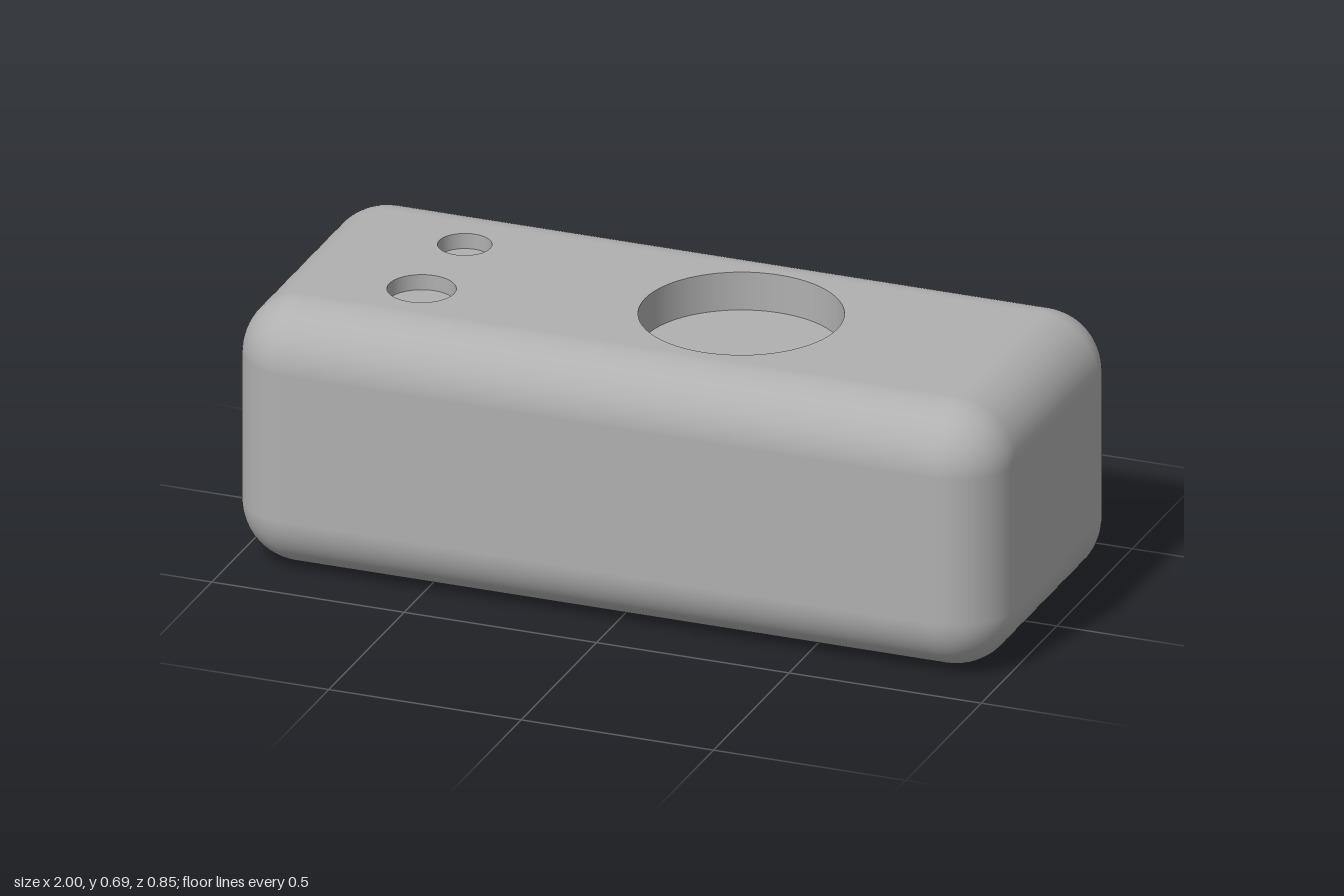
import * as THREE from 'three';
import { RoundedBoxGeometry } from 'three/addons/geometries/RoundedBoxGeometry.js';

const W = 2, H = 0.694, D = 0.852, R = 0.155;

// round recesses in the top face: centre, radius, depth
const recesses = [
  { name: 'largeRecess', x: 0.18, z: 0, r: 0.25, depth: 0.1 },
  { name: 'mediumRecess', x: -0.595, z: 0.142, r: 0.084, depth: 0.04 },
  { name: 'smallRecess', x: -0.595, z: -0.144, r: 0.066, depth: 0.04 },
];

// rounded box without its flat top panel
function openTopShell() {
  const box = new RoundedBoxGeometry(W, H, D, 10, R);
  const src = box.index ? box.toNonIndexed() : box;
  const p = src.attributes.position, n = src.attributes.normal;
  const pos = [], nor = [];
  for (let i = 0; i < p.count; i += 3) {
    if ([0, 1, 2].every((k) => p.getY(i + k) > H / 2 - 1e-4)) continue;
    for (let k = i; k < i + 3; k++) {
      pos.push(p.getX(k), p.getY(k), p.getZ(k));
      nor.push(n.getX(k), n.getY(k), n.getZ(k));
    }
  }
  const g = new THREE.BufferGeometry();
  g.setAttribute('position', new THREE.Float32BufferAttribute(pos, 3));
  g.setAttribute('normal', new THREE.Float32BufferAttribute(nor, 3));
  return g.translate(0, H / 2, 0);
}

// flat top panel pierced by the recess openings
function topPanel() {
  const a = W / 2 - R, b = D / 2 - R;
  const shape = new THREE.Shape([[-a, -b], [a, -b], [a, b], [-a, b]].map(([x, y]) => new THREE.Vector2(x, y)));
  for (const h of recesses) {
    shape.holes.push(new THREE.Path().absarc(h.x, -h.z, h.r, 0, Math.PI * 2, true));
  }
  return new THREE.ShapeGeometry(shape, 32).rotateX(-Math.PI / 2).translate(0, H, 0);
}

export function createModel() {
  const grey = new THREE.MeshStandardMaterial({ color: 0xb0b0b0, side: THREE.DoubleSide });
  grey.name = 'grey';
  const model = new THREE.Group();
  model.name = 'roundedBlock';
  const add = (parent, name, geometry) => {
    const mesh = new THREE.Mesh(geometry, grey);
    mesh.name = name;
    parent.add(mesh);
    return mesh;
  };

  add(model, 'shell', openTopShell());
  add(model, 'topPanel', topPanel());

  // wall and floor of each recess
  for (const h of recesses) {
    const recess = new THREE.Group();
    recess.name = h.name;
    recess.position.set(h.x, H - h.depth, h.z);
    add(recess, 'wall', new THREE.CylinderGeometry(h.r, h.r, h.depth, 64, 1, true).translate(0, h.depth / 2, 0));
    add(recess, 'floor', new THREE.CircleGeometry(h.r, 64).rotateX(-Math.PI / 2));
    model.add(recess);
  }
  return model;
}
